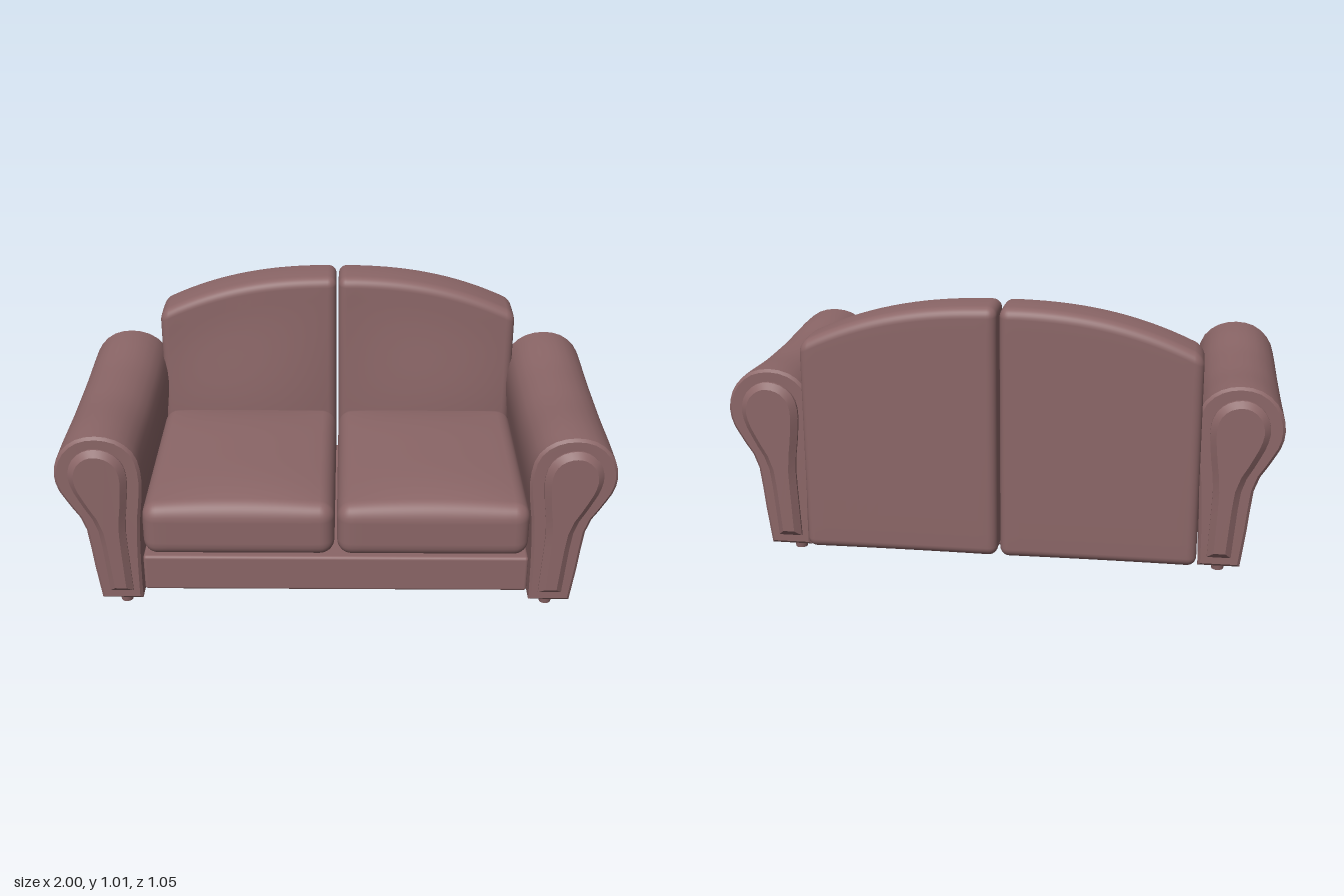
import * as THREE from 'three';
import { toCreasedNormals, mergeVertices } from 'three/addons/utils/BufferGeometryUtils.js';
import { RoundedBoxGeometry } from 'three/addons/geometries/RoundedBoxGeometry.js';

const { clamp, smoothstep } = THREE.MathUtils;
const upholstery = new THREE.MeshStandardMaterial({ color: 0x8b6667 });
upholstery.name = 'upholstery';

function add(parent, name, geometry) {
  const mesh = new THREE.Mesh(geometry, upholstery);
  mesh.name = name;
  parent.add(mesh);
  return mesh;
}

// Moves every vertex of a geometry by a rule
function reshape(geometry, rule) {
  const pos = geometry.attributes.position;
  const v = new THREE.Vector3();
  for (let i = 0; i < pos.count; i++) {
    rule(v.fromBufferAttribute(pos, i));
    pos.setXYZ(i, v.x, v.y, v.z);
  }
  return geometry;
}

// Finely divided box with rounded edges, placed at a centre and then shaped by a rule
function cushion(size, centre, radius, rule) {
  const n = 24, k = 4;
  const geo = new THREE.BoxGeometry(1, 1, 1, n, n, n);
  geo.deleteAttribute('uv');
  geo.deleteAttribute('normal');
  const spread = (t, length) => {
    const i = Math.round((t + 0.5) * n), half = length / 2;
    if (i < k) return -half + radius * i / k;
    if (i > n - k) return half - radius * (n - i) / k;
    return (-half + radius) + (length - 2 * radius) * (i - k) / (n - 2 * k);
  };
  const inner = new THREE.Vector3();
  const limit = size.clone().multiplyScalar(0.5).subScalar(radius);
  reshape(geo, (v) => {
    v.set(spread(v.x, size.x), spread(v.y, size.y), spread(v.z, size.z));
    inner.copy(v).clamp(limit.clone().negate(), limit);
    v.sub(inner).setLength(radius).add(inner).add(centre);
    rule(v);
  });
  const merged = mergeVertices(geo, 1e-5);
  merged.computeVertexNormals();
  return merged;
}

// Outline with a straight foot and a smooth curve over the top
function outline(points, side) {
  const p = points.map(([x, y]) => new THREE.Vector2(x * side, y));
  const shape = new THREE.Shape();
  shape.moveTo(p[0].x, p[0].y);
  shape.lineTo(p[1].x, p[1].y);
  shape.splineThru([...p.slice(2), p[0].clone()]);
  return shape;
}

const armProfile = [
  [0.715, 0.06], [0.865, 0.06], [0.885, 0.21], [0.905, 0.37], [0.955, 0.46], [0.992, 0.53],
  [0.998, 0.6], [0.972, 0.67], [0.915, 0.72], [0.84, 0.735], [0.765, 0.717], [0.71, 0.665],
  [0.69, 0.58], [0.695, 0.48], [0.707, 0.38], [0.714, 0.22],
];
const panelProfile = [
  [0.747, 0.1], [0.832, 0.1], [0.843, 0.23], [0.86, 0.37], [0.905, 0.46], [0.938, 0.53],
  [0.948, 0.59], [0.93, 0.645], [0.89, 0.68], [0.845, 0.69], [0.795, 0.677], [0.756, 0.64],
  [0.74, 0.58], [0.745, 0.49], [0.758, 0.37], [0.753, 0.23],
];

function armGeometry(side) {
  const geo = new THREE.ExtrudeGeometry(outline(armProfile, side), {
    depth: 0.93, steps: 16, curveSegments: 2,
    bevelThickness: 0.01, bevelSize: 0.01, bevelOffset: -0.01, bevelSegments: 1,
  });
  geo.translate(0, 0, -0.44);
  // Gentle sag along the top of the roll
  reshape(geo, (v) => {
    const sag = 1 - smoothstep(Math.abs(v.z + 0.01), 0.1, 0.42);
    v.y -= 0.017 * sag * clamp((v.y - 0.5) / 0.235, 0, 1);
  });
  return toCreasedNormals(geo, 0.6);
}

function panelGeometry(side, z) {
  const geo = new THREE.ExtrudeGeometry(outline(panelProfile, side), {
    depth: 0.02, curveSegments: 2,
    bevelThickness: 0.02, bevelSize: 0.022, bevelOffset: -0.022, bevelSegments: 1,
  });
  geo.translate(0, 0, z - 0.01);
  return toCreasedNormals(geo, 0.6);
}

export function createModel() {
  const sofa = new THREE.Group();
  sofa.name = 'sofa';

  // Base under the seats
  add(sofa, 'base', new RoundedBoxGeometry(1.42, 0.145, 0.88, 3, 0.012)).position.set(0, 0.1525, 0.03);

  for (const side of [1, -1]) {
    const word = side > 0 ? 'left' : 'right';
    const midX = 0.357;
    const across = (v) => 1 - ((Math.abs(v.x) - midX) / 0.353) ** 2;

    // Seat cushion with a crowned top
    add(sofa, word + 'SeatCushion', cushion(
      new THREE.Vector3(0.705, 0.21, 0.83), new THREE.Vector3(side * midX, 0.325, 0.055), 0.055,
      (v) => {
        const along = 1 - ((v.z - 0.055) / 0.415) ** 4;
        v.y += 0.032 * Math.max(0, across(v)) * Math.max(0, along) * clamp((v.y - 0.27) / 0.15, 0, 1);
      }));

    // Back cushion: arched top falling to the outside, swelling front
    add(sofa, word + 'BackCushion', cushion(
      new THREE.Vector3(0.705, 0.92, 0.192), new THREE.Vector3(side * midX, 0.54, -0.426), 0.034,
      (v) => {
        const high = clamp((v.y - 0.45) / 0.4, 0, 1);
        const depth = clamp((v.z + 0.522) / 0.192, 0, 1);
        const swell = 0.04 * (1 - smoothstep(v.y, 0.4, 0.98)) * Math.max(0, across(v));
        v.y -= 0.15 * (Math.abs(v.x) / 0.71) ** 2.4 * high;
        v.y += 0.006 * high * (1 - (2 * depth - 1) ** 2);
        v.z += swell * depth;
      }));

    // Rolled arm with raised end panels
    const arm = new THREE.Group();
    arm.name = word + 'Arm';
    sofa.add(arm);
    add(arm, 'armBody', armGeometry(side));
    add(arm, 'frontPanel', panelGeometry(side, 0.495));
    add(arm, 'backPanel', panelGeometry(side, -0.45));

    // Tapered feet
    for (const z of [0.41, -0.325]) {
      add(sofa, word + (z > 0 ? 'Front' : 'Back') + 'Foot',
        new THREE.CylinderGeometry(0.034, 0.022, 0.07, 16)).position.set(side * 0.79, 0.035, z);
    }
  }
  return sofa;
}
